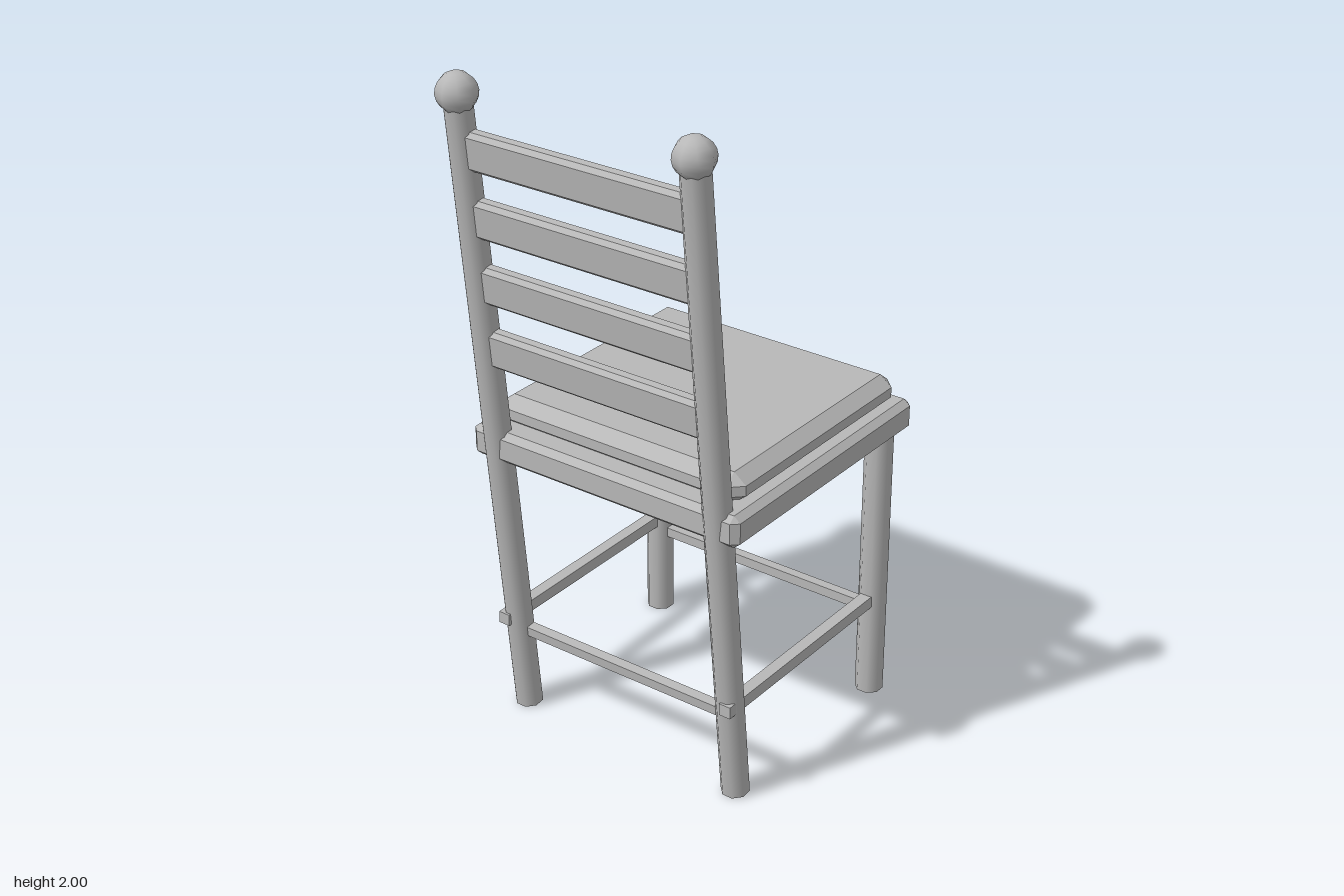
import * as THREE from 'three';
import { ConvexGeometry } from 'three/addons/geometries/ConvexGeometry.js';

const wood = new THREE.MeshStandardMaterial({ color: 0xb8b8b8 });
wood.name = 'plain grey';

// Box with every edge chamfered; bx, by, bz are the chamfer depths per axis
function chamferBox(w, h, d, bx, by, bz) {
  const points = [];
  for (const sx of [-1, 1]) for (const sy of [-1, 1]) for (const sz of [-1, 1]) {
    const x = w / 2, y = h / 2, z = d / 2;
    points.push(
      new THREE.Vector3(sx * x, sy * (y - by), sz * (z - bz)),
      new THREE.Vector3(sx * (x - bx), sy * y, sz * (z - bz)),
      new THREE.Vector3(sx * (x - bx), sy * (y - by), sz * z));
  }
  return new ConvexGeometry(points);
}

export function createModel() {
  const chair = new THREE.Group();
  chair.name = 'chair';
  const add = (name, geometry, x, y, z, tilt = 0) => {
    const mesh = new THREE.Mesh(geometry, wood);
    mesh.name = name;
    mesh.position.set(x, y, z);
    mesh.rotation.x = tilt;
    chair.add(mesh);
  };

  // Backrest line: leans towards +z as it rises
  const slope = 0.2 / 1.945;
  const lean = Math.atan(slope);
  const backZ = y => 0.24 + y * slope;

  // Seat and cushion
  add('seat', chamferBox(0.894, 0.095, 0.855, 0.02, 0.017, 0.019), 0, 0.8975, -0.0675);
  add('cushion', chamferBox(0.816, 0.09, 0.775, 0.038, 0.03, 0.038), 0, 0.975, -0.0875);

  // Eight-sided legs, back posts and ball finials
  const post = length => new THREE.CylinderGeometry(0.0415, 0.0415, length, 8, 1, false, Math.PI / 8);
  const postLength = 1.93 / Math.cos(lean);
  for (const [side, s] of [['left', 1], ['right', -1]]) {
    add(side + 'FrontLeg', post(0.87), s * 0.387, 0.435, -0.418);
    add(side + 'BackPost', post(postLength), s * 0.371, 0.971, backZ(0.971), lean);
    add(side + 'Finial', new THREE.SphereGeometry(0.057, 8, 10), s * 0.371, 1.943, backZ(1.943), lean);
    // Side stretcher runs just through the back post
    add(side + 'Stretcher', new THREE.BoxGeometry(0.036, 0.036, 0.74), s * 0.388, 0.315, -0.05);
  }

  // Front and back stretchers
  add('frontStretcher', new THREE.BoxGeometry(0.76, 0.03, 0.03), 0, 0.275, -0.418);
  add('backStretcher', new THREE.BoxGeometry(0.73, 0.03, 0.03), 0, 0.275, backZ(0.275), lean);

  // Ladder slats
  for (let i = 0; i < 4; i++) {
    const y = 1.208 + i * 0.194;
    add('backSlat' + (i + 1), chamferBox(0.73, 0.112, 0.046, 0.012, 0.012, 0.012), 0, y, backZ(y), lean);
  }
  return chair;
}
